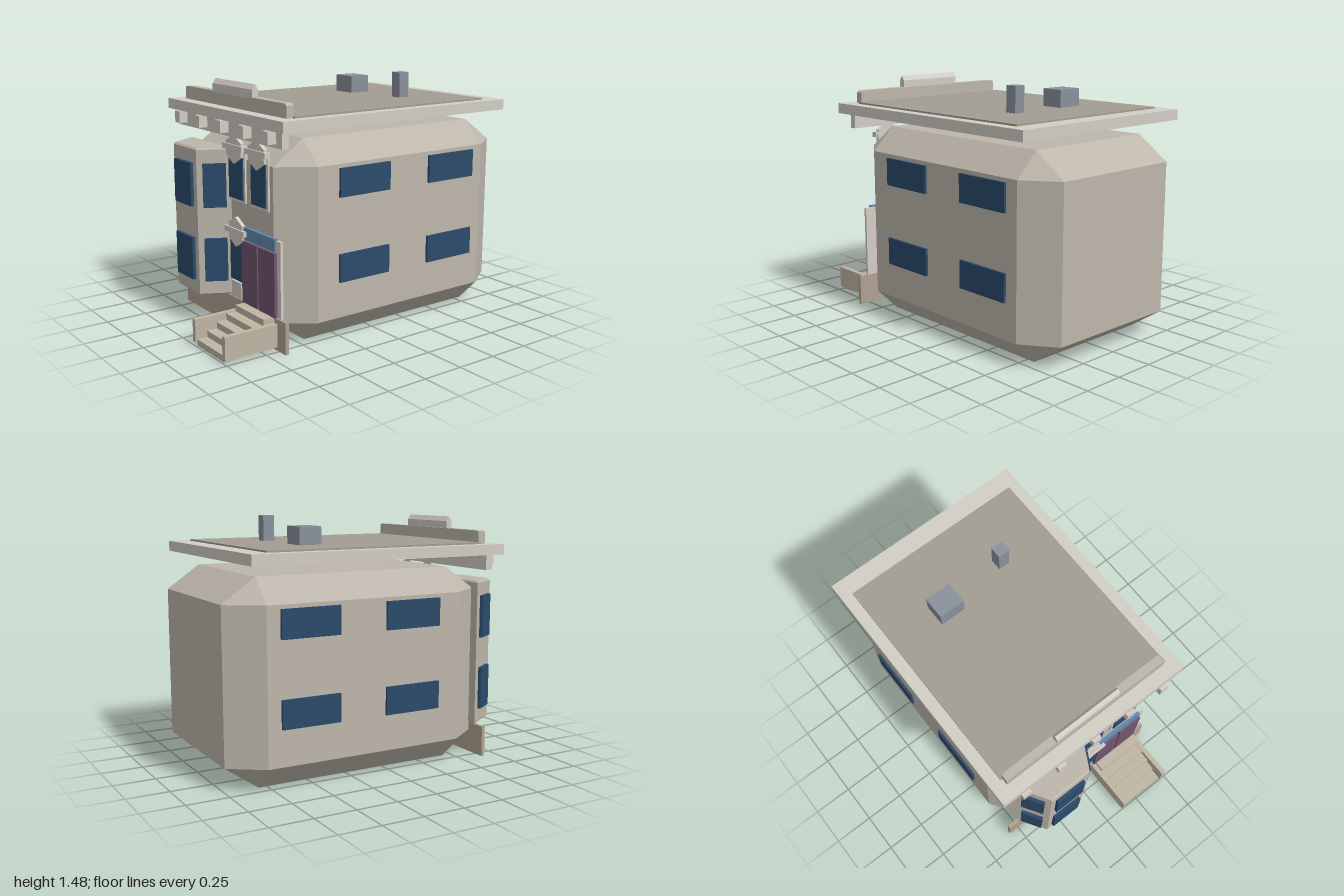
import * as THREE from 'three';
import { ConvexGeometry } from 'three/addons/geometries/ConvexGeometry.js';

const material = (color) => new THREE.MeshStandardMaterial({ color, flatShading: true });
const WALL = material(0xbdb6ab), TRIM = material(0xd2cec5), GLASS = material(0x2b4b6b);
const DOOR = material(0x71556f), TRANSOM = material(0x5f89ae), BASE = material(0xb0a190);
const ROOF = material(0xa29d91), STEP = material(0xbfb6a5), CHIMNEY = material(0x8a919b);

export function createModel() {
  const house = new THREE.Group();
  house.name = 'townhouse';

  const add = (name, geometry, mat) => {
    const mesh = new THREE.Mesh(geometry, mat);
    mesh.name = name;
    house.add(mesh);
    return mesh;
  };
  // Box given by its limits on each axis
  const box = (name, mat, x0, x1, y0, y1, z0, z1) => {
    const mesh = add(name, new THREE.BoxGeometry(x1 - x0, y1 - y0, z1 - z0), mat);
    mesh.position.set((x0 + x1) / 2, (y0 + y1) / 2, (z0 + z1) / 2);
    return mesh;
  };
  const outline = (points) => new THREE.Shape(points.map(([x, y]) => new THREE.Vector2(x, y)));

  // Main body: a box with broad chamfers on every edge
  const corners = [];
  for (const sx of [-1, 1]) for (const sy of [-1, 1]) for (const sz of [-1, 1]) {
    const hx = 0.57, hy = 0.5875, hz = 0.8225;
    const ix = hx - 0.14, iy = hy - 0.14, iz = hz - 0.2;
    for (const [x, y, z] of [[hx, iy, iz], [ix, hy, iz], [ix, iy, hz]]) {
      corners.push(new THREE.Vector3(sx * x, sy * y, sz * z));
    }
  }
  add('body', new ConvexGeometry(corners), WALL).position.set(0, 0.5875, -0.1775);

  // Side windows
  for (const side of [-1, 1]) {
    for (const [y0, y1] of [[0.353, 0.518], [0.847, 1.012]]) {
      for (const z of [0.12, -0.54]) {
        box('sideWindow', GLASS, side * 0.575 - 0.01, side * 0.575 + 0.01, y0, y1, z - 0.18, z + 0.18);
      }
    }
  }

  // Foundation board across the front
  box('foundation', BASE, -0.567, 0.567, 0, 0.187, 0.642, 0.664);

  // Bay: trapezoid plan extruded upwards with a slight bevel
  const bevel = 0.01;
  const plan = outline([[-0.488, -0.64], [-0.378, -0.81], [-0.117, -0.81], [-0.022, -0.64]]);
  const bay = new THREE.ExtrudeGeometry(plan, {
    depth: 0.89 - 2 * bevel, bevelEnabled: true, bevelSize: bevel, bevelThickness: bevel, bevelSegments: 1,
  });
  bay.rotateX(-Math.PI / 2);
  add('bay', bay, WALL).position.y = 0.19 + bevel;

  // Bay windows on the front and the two slanted faces
  for (const [y0, y1] of [[0.282, 0.542], [0.73, 0.99]]) {
    box('bayWindow', GLASS, -0.35, -0.15, y0, y1, 0.815, 0.84);
    for (const [x, angle] of [[-0.449, -1.0], [-0.053, 1.06]]) {
      const pane = box('bayWindow', GLASS, -0.068, 0.068, y0, y1, -0.01, 0.01);
      pane.position.x = x;
      pane.position.z = 0.735;
      pane.rotation.y = angle;
    }
  }

  // Window hood: a ledge crossing a plate pointed above and below
  const hood = (x, y, low, high, halfWidth) => {
    const rise = halfWidth * 0.56;
    const shape = outline([
      [0, low], [halfWidth, low + rise], [halfWidth, high - rise],
      [0, high], [-halfWidth, high - rise], [-halfWidth, low + rise],
    ]);
    const plate = new THREE.ExtrudeGeometry(shape, { depth: 0.022, bevelEnabled: false });
    add('hoodPlate', plate, TRIM).position.set(x, 0, 0.653);
    box('hoodLedge', TRIM, x - 0.105, x + 0.105, y, y + 0.033, 0.648, 0.685);
  };

  // Upper front windows
  for (const x of [0.065, 0.305]) {
    box('windowFrame', TRIM, x - 0.092, x + 0.092, 0.778, 1.1, 0.64, 0.656);
    box('frontWindow', GLASS, x - 0.075, x + 0.075, 0.795, 1.09, 0.645, 0.664);
    hood(x, 1.08, 1.0, 1.172, 0.082);
  }

  // Ground floor window with the panel below it
  box('frontWindow', GLASS, -0.01, 0.135, 0.3, 0.6, 0.645, 0.664);
  box('windowPanel', TRIM, -0.01, 0.098, 0.188, 0.288, 0.642, 0.66);
  hood(0.07, 0.588, 0.51, 0.688, 0.075);

  // Entrance
  box('doorFrame', TRIM, 0.13, 0.51, 0.188, 0.632, 0.638, 0.655);
  box('transom', TRANSOM, 0.14, 0.468, 0.57, 0.642, 0.645, 0.665);
  box('rightDoor', DOOR, 0.133, 0.298, 0.19, 0.563, 0.645, 0.674);
  box('leftDoor', DOOR, 0.311, 0.476, 0.19, 0.563, 0.645, 0.674);

  // Front steps between low side walls
  for (let i = 0; i < 5; i++) {
    const front = 0.988 - i * 0.0633;
    box('step', STEP, 0.153, 0.455, i * 0.038, (i + 1) * 0.038, front - 0.08, front);
  }
  for (const x of [0.125, 0.455]) {
    box('stepWall', STEP, x, x + 0.03, 0.022, 0.158, 0.66, 1.0);
  }

  // Cornice with brackets
  box('frieze', TRIM, -0.574, 0.574, 1.155, 1.25, 0.637, 0.68);
  for (let i = -2; i <= 2; i++) {
    const x = i * 0.246;
    box('bracket', TRIM, x - 0.028, x + 0.028, 1.177, 1.248, 0.675, 0.735);
  }

  // Roof slab and its covering
  box('roofSlab', TRIM, -0.64, 0.64, 1.25, 1.312, -0.912, 0.716);
  box('roofCovering', ROOF, -0.57, 0.57, 1.308, 1.322, -0.795, 0.595);

  // Parapet with clipped upper corners
  const parapet = outline([
    [-0.557, 1.31], [0.553, 1.31], [0.553, 1.38], [0.535, 1.391], [-0.535, 1.391], [-0.557, 1.385],
  ]);
  add('parapet', new THREE.ExtrudeGeometry(parapet, { depth: 0.048, bevelEnabled: false }), WALL)
    .position.z = 0.588;

  // Crest: pentagonal section running along x
  const crest = new THREE.ExtrudeGeometry(
    outline([[-0.637, 1.385], [-0.597, 1.385], [-0.597, 1.434], [-0.617, 1.463], [-0.637, 1.434]]),
    { depth: 0.435, bevelEnabled: false },
  );
  crest.rotateY(Math.PI / 2);
  add('parapetCrest', crest, TRIM).position.x = -0.219;

  // Chimneys
  box('wideChimney', CHIMNEY, -0.28, -0.12, 1.31, 1.427, -0.458, -0.32);
  box('tallChimney', CHIMNEY, 0.19, 0.26, 1.31, 1.475, -0.468, -0.396);

  return house;
}
